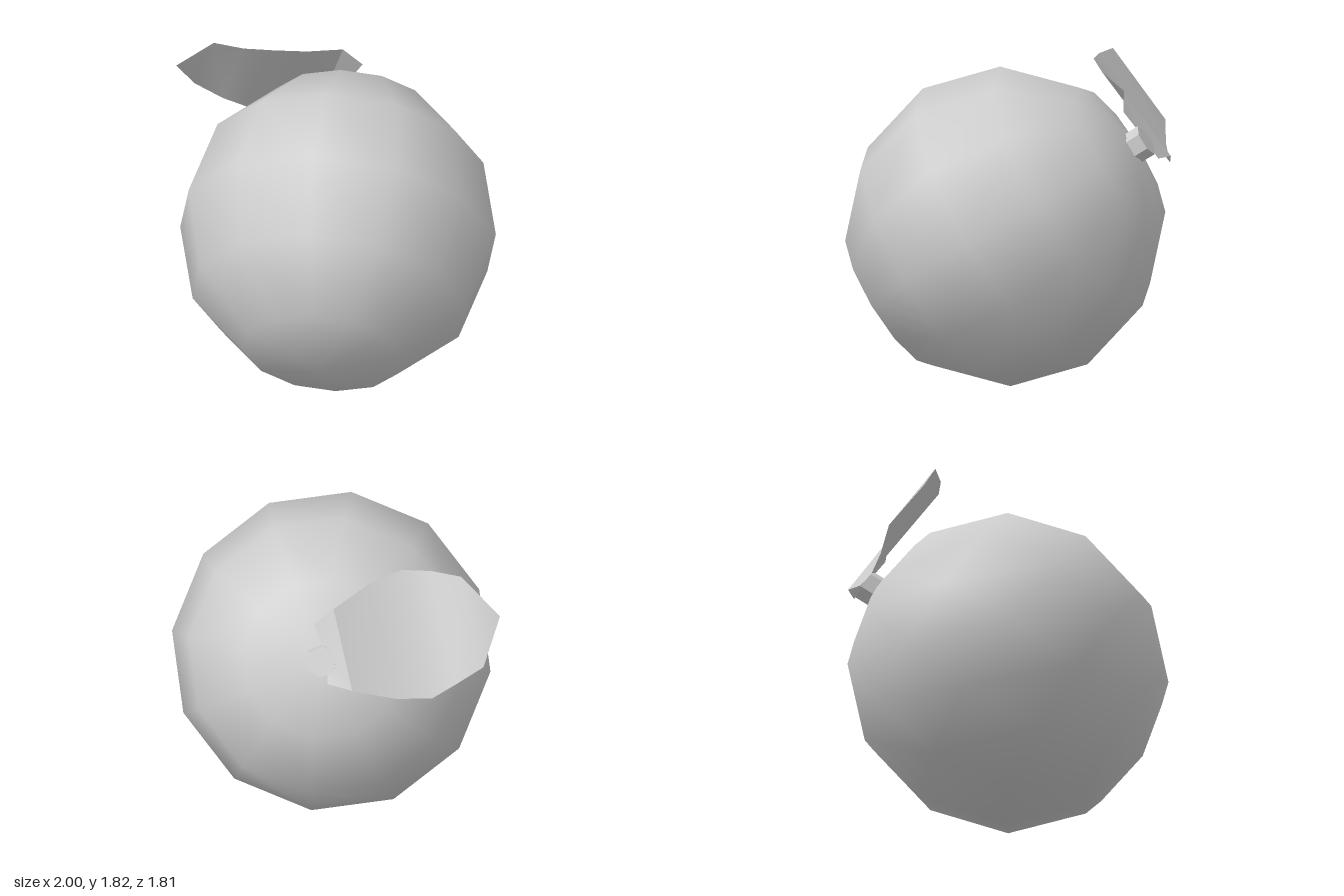
import * as THREE from 'three';

const material = new THREE.MeshStandardMaterial({ color: 0xcccccc });
const thinMaterial = new THREE.MeshStandardMaterial({ color: 0xcccccc, side: THREE.DoubleSide });

// Thin smooth surface from corner points and triangles
function surface(name, points, triangles) {
  const geometry = new THREE.BufferGeometry();
  geometry.setAttribute('position', new THREE.Float32BufferAttribute(points.flat(), 3));
  geometry.setIndex(triangles.flat());
  geometry.computeVertexNormals();
  const mesh = new THREE.Mesh(geometry, thinMaterial);
  mesh.name = name;
  return mesh;
}

export function createModel() {
  const group = new THREE.Group();
  group.name = 'fruit';

  // Fruit body and stem share one tilted axis
  const axis = new THREE.Vector3(-0.245, 0.543, -0.803).normalize();
  const side = new THREE.Vector3(0.967, 0.077, -0.251);
  side.addScaledVector(axis, -side.dot(axis)).normalize();
  const tilted = new THREE.Group();
  tilted.name = 'tiltedFruit';
  tilted.quaternion.setFromRotationMatrix(
    new THREE.Matrix4().makeBasis(side, axis, side.clone().cross(axis)));
  tilted.position.set(0.115, 0.912, 0);
  group.add(tilted);

  const body = new THREE.Mesh(new THREE.SphereGeometry(0.914, 12, 6), material);
  body.name = 'body';
  tilted.add(body);

  // Short six-sided stem
  const stem = new THREE.Mesh(new THREE.CylinderGeometry(0.093, 0.093, 0.12, 6), material);
  stem.geometry = stem.geometry.toNonIndexed();
  stem.geometry.computeVertexNormals();
  stem.name = 'stem';
  stem.position.y = 0.915;
  tilted.add(stem);

  // Leaf blade: upper and lower edge points in pairs, then the tip
  const upper = [[-0.14, 1.71, -0.63], [-0.27, 1.775, -0.42], [-0.42, 1.82, -0.28],
    [-0.58, 1.82, -0.23], [-0.76, 1.82, -0.22]];
  const lower = [[-0.33, 1.32, -0.83], [-0.55, 1.235, -0.705], [-0.73, 1.215, -0.6],
    [-0.84, 1.285, -0.52], [-0.98, 1.39, -0.44]];
  const tip = [-1, 1.61, -0.23];
  const n = upper.length;
  const blade = [];
  for (let i = 0; i < n - 1; i++) {
    blade.push([i, n + i, i + 1], [i + 1, n + i, n + i + 1]);
  }
  blade.push([n - 1, 2 * n - 1, 2 * n]);
  group.add(surface('leafBlade', [...upper, ...lower, tip], blade));

  // Folded leaf base, notched around the stem
  group.add(surface('leafBase',
    [upper[0], lower[0], [-0.04, 1.61, -0.68], [-0.145, 1.46, -0.745], [-0.18, 1.33, -0.83]],
    [[0, 3, 1], [0, 2, 3], [1, 3, 4]]));

  return group;
}
